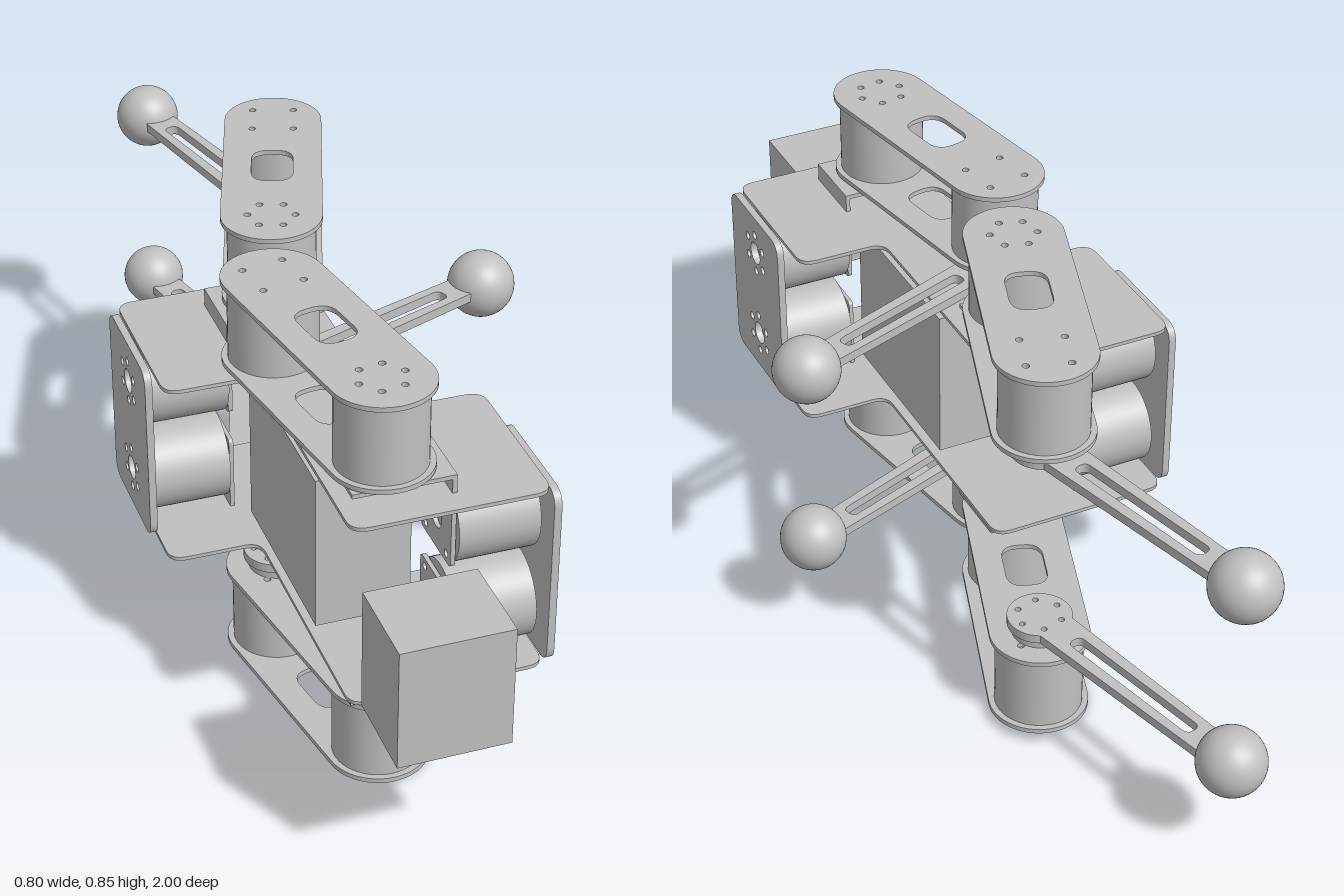
import * as THREE from 'three';

const MID = 0.4225; // height of the plane the robot mirrors about
const grey = new THREE.MeshStandardMaterial({ color: 0xc0c0c0 });
grey.name = 'grey';

function add(parent, name, geometry, x = 0, y = 0, z = 0) {
  const mesh = new THREE.Mesh(geometry, grey);
  mesh.name = name;
  mesh.position.set(x, y, z);
  parent.add(mesh);
  return mesh;
}

// Polygon with every corner rounded
function roundedPoly(points, r) {
  const shape = new THREE.Shape();
  const p = points.map(([x, y]) => new THREE.Vector2(x, y));
  p.forEach((c, i) => {
    const prev = p[(i + p.length - 1) % p.length], next = p[(i + 1) % p.length];
    const a = c.clone().add(prev.clone().sub(c).setLength(r));
    const b = c.clone().add(next.clone().sub(c).setLength(r));
    if (i === 0) shape.moveTo(a.x, a.y); else shape.lineTo(a.x, a.y);
    shape.quadraticCurveTo(c.x, c.y, b.x, b.y);
  });
  shape.closePath();
  return shape;
}

function hole(shape, x, y, r) {
  shape.holes.push(new THREE.Path().absarc(x, y, r, 0, Math.PI * 2, true));
}

function holeRing(shape, x, y, ring, count, r) {
  for (let i = 0; i < count; i++) {
    const a = ((i + 0.5) / count) * Math.PI * 2;
    hole(shape, x + ring * Math.cos(a), y + ring * Math.sin(a), r);
  }
}

// Rounded slot along the local x axis
function slot(shape, x0, x1, half, r) {
  const pts = [[x0, -half], [x0, half], [x1, half], [x1, -half]];
  shape.holes.push(new THREE.Path(roundedPoly(pts, r).getPoints(6)));
}

function extrude(shape, t) {
  return new THREE.ExtrudeGeometry(shape, { depth: t, bevelEnabled: false, curveSegments: 16 })
    .translate(0, 0, -t / 2);
}
const flat = (shape, t) => extrude(shape, t).rotateX(Math.PI / 2);
const upright = (shape, t) => extrude(shape, t).rotateY(Math.PI / 2);
const cylinder = (r, h) => new THREE.CylinderGeometry(r, r, h, 48);

function thighShape(len) {
  const s = new THREE.Shape();
  s.absarc(0, 0, 0.1, Math.PI / 2, Math.PI * 1.5, false);
  s.absarc(len, 0, 0.1, -Math.PI / 2, Math.PI / 2, false);
  s.closePath();
  slot(s, len / 2 - 0.065, len / 2 + 0.065, 0.042, 0.036);
  holeRing(s, 0, 0, 0.047, 6, 0.007);
  holeRing(s, len, 0, 0.06, 4, 0.007);
  return s;
}

function shinShape(len) {
  const s = new THREE.Shape(), a = 0.7;
  s.absarc(0, 0, 0.065, a, Math.PI * 2 - a, false);
  s.lineTo(len - 0.045, -0.034);
  s.lineTo(len - 0.045, 0.034);
  s.closePath();
  slot(s, 0.1, len - 0.1, 0.016, 0.015);
  holeRing(s, 0, 0, 0.045, 6, 0.006);
  return s;
}

// Leg: thigh with two motors between plates, shin bar and ball foot
function addLeg(root, name, side, hip, knee, foot) {
  const leg = new THREE.Group();
  leg.name = name;
  root.add(leg);
  const y = d => MID + side * d;
  const aim = (a, b) => -Math.atan2(b[1] - a[1], b[0] - a[0]);
  const dist = (a, b) => Math.hypot(b[0] - a[0], b[1] - a[1]);

  const plate = flat(thighShape(dist(hip, knee)), 0.01);
  for (const [label, d] of [['thighOuterPlate', 0.4175], ['thighInnerPlate', 0.245]]) {
    add(leg, label, plate, hip[0], y(d), hip[1]).rotation.y = aim(hip, knee);
  }
  add(leg, 'hipMotor', cylinder(0.088, 0.1625), hip[0], y(0.33125), hip[1]);
  add(leg, 'kneeMotor', cylinder(0.088, 0.1625), knee[0], y(0.33125), knee[1]);
  add(leg, 'kneeHub', cylinder(0.055, 0.022), knee[0], y(0.2295), knee[1]);
  add(leg, 'shin', flat(shinShape(dist(knee, foot)), 0.019), knee[0], y(0.21), knee[1])
    .rotation.y = aim(knee, foot);
  add(leg, 'foot', new THREE.SphereGeometry(0.068, 40, 28), foot[0], y(0.207), foot[1]);
}

// Side station: abduction motors, their brackets and the end plate
function addStation(root, name, dir, z) {
  const g = new THREE.Group();
  g.name = name;
  root.add(g);
  const X = d => -0.1 + dir * d;

  const end = roundedPoly([[-0.13, -0.192], [0.13, -0.192], [0.13, 0.192], [-0.13, 0.192]], 0.035);
  const web = roundedPoly([[-0.075, -0.07], [0.075, -0.07], [0.075, 0.135], [-0.075, 0.135]], 0.012);
  hole(web, 0, 0, 0.025);
  for (const sx of [-1, 1]) for (const sy of [-1, 1]) hole(web, sx * 0.052, sy * 0.052, 0.008);

  for (const side of [1, -1]) {
    const y = MID + side * 0.1025;
    hole(end, 0, side * 0.1025, 0.025);
    holeRing(end, 0, side * 0.1025, 0.045, 6, 0.009);
    add(g, 'sideMotor', cylinder(0.09, 0.16).rotateZ(Math.PI / 2), X(0.2), y, z);
    add(g, 'sideMotorHub', cylinder(0.055, 0.008).rotateZ(Math.PI / 2), X(0.283), y, z);
    const bracket = add(g, 'bracketWeb', upright(web, 0.009), X(0.114), y, z);
    if (side < 0) bracket.rotation.x = Math.PI;
    add(g, 'bracketFlange', new THREE.BoxGeometry(0.2, 0.009, 0.15), X(0.0185), MID + side * 0.233, z);
    add(g, 'hipHub', cylinder(0.055, 0.006), -0.1, MID + side * 0.239, z);
  }
  add(g, 'endPlate', upright(end, 0.015), X(0.294), MID, z);
}

export function createModel() {
  const root = new THREE.Group();
  root.name = 'quadrupedRobot';

  // Z-shaped deck plates above and below the body
  const half = [[0, -0.16], [0, 0.38], [0.185, 0.38], [0.185, 0.73]];
  const outline = [...half, ...half.map(([x, z]) => [-0.2 - x, 0.57 - z])];
  const deck = flat(roundedPoly(outline, 0.035), 0.008);
  add(root, 'upperDeck', deck, 0, MID + 0.195, 0);
  add(root, 'lowerDeck', deck, 0, MID - 0.195, 0);

  // Body core and head
  add(root, 'bodyBox', new THREE.BoxGeometry(0.19, 0.33, 0.4), -0.1, MID, 0.317);
  add(root, 'neck', cylinder(0.041, 0.1).rotateX(Math.PI / 2), -0.1, MID + 0.003, 0.775);
  add(root, 'head', new THREE.BoxGeometry(0.216, 0.25, 0.185), -0.102, MID + 0.002, 0.9075);

  addStation(root, 'frontStation', 1, 0.604);
  addStation(root, 'rearStation', -1, -0.024);

  for (const [label, side] of [['upper', 1], ['lower', -1]]) {
    addLeg(root, label + 'FrontLeg', side, [-0.1, 0.604], [-0.17, 0.2], [0.33, 0.012]);
    addLeg(root, label + 'RearLeg', side, [-0.1, -0.024], [0.03, -0.413], [-0.1, -0.932]);
  }
  return root;
}
